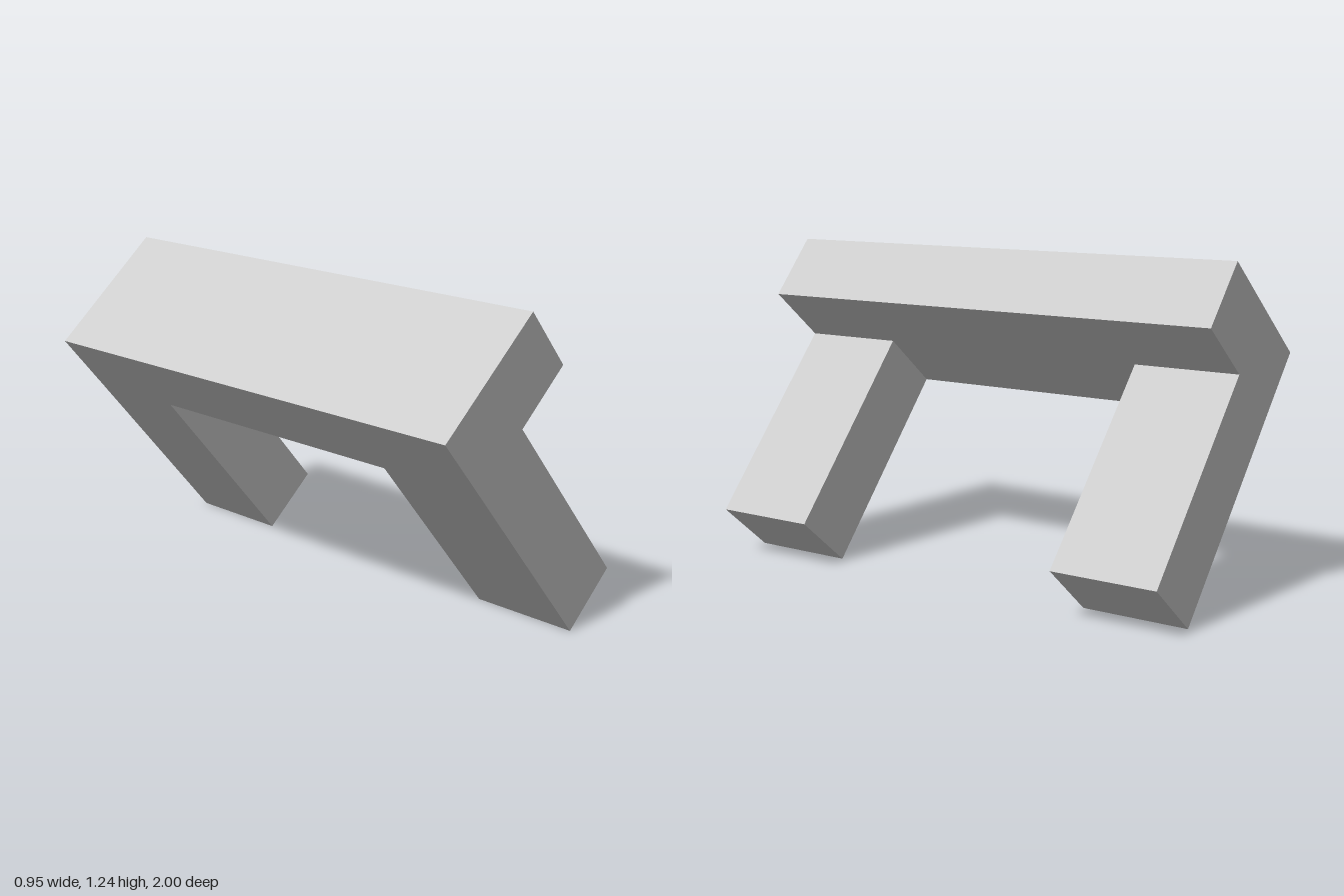
import * as THREE from 'three';

const grey = new THREE.MeshStandardMaterial({ color: 0xcccccc });
grey.name = 'light grey';

// Prism with an x,y outline running from z0 to z1
function prism(name, outline, z0, z1) {
  const shape = new THREE.Shape(outline.map(([x, y]) => new THREE.Vector2(x, y)));
  const geometry = new THREE.ExtrudeGeometry(shape, { depth: z1 - z0, bevelEnabled: false });
  geometry.translate(0, 0, z0);
  const mesh = new THREE.Mesh(geometry, grey);
  mesh.name = name;
  return mesh;
}

export function createModel() {
  const model = new THREE.Group();
  model.name = 'tiltedBracket';

  // Corners shared by the crossbar and the legs
  const outerHeel = [-0.477, 0.877];
  const innerCorner = [-0.075, 0.843];
  const backCorner = [-0.293, 0.658];

  // Full-length crossbar
  model.add(prism('crossbar', [outerHeel, backCorner, [0.142, 1.027], [-0.04, 1.243]], -1, 1));

  // Two slanted legs at the ends
  const leg = [backCorner, [0.257, 0], [0.475, 0.185], innerCorner];
  model.add(prism('frontLeg', leg, 0.573, 1));
  model.add(prism('backLeg', leg, -1, -0.573));

  return model;
}
